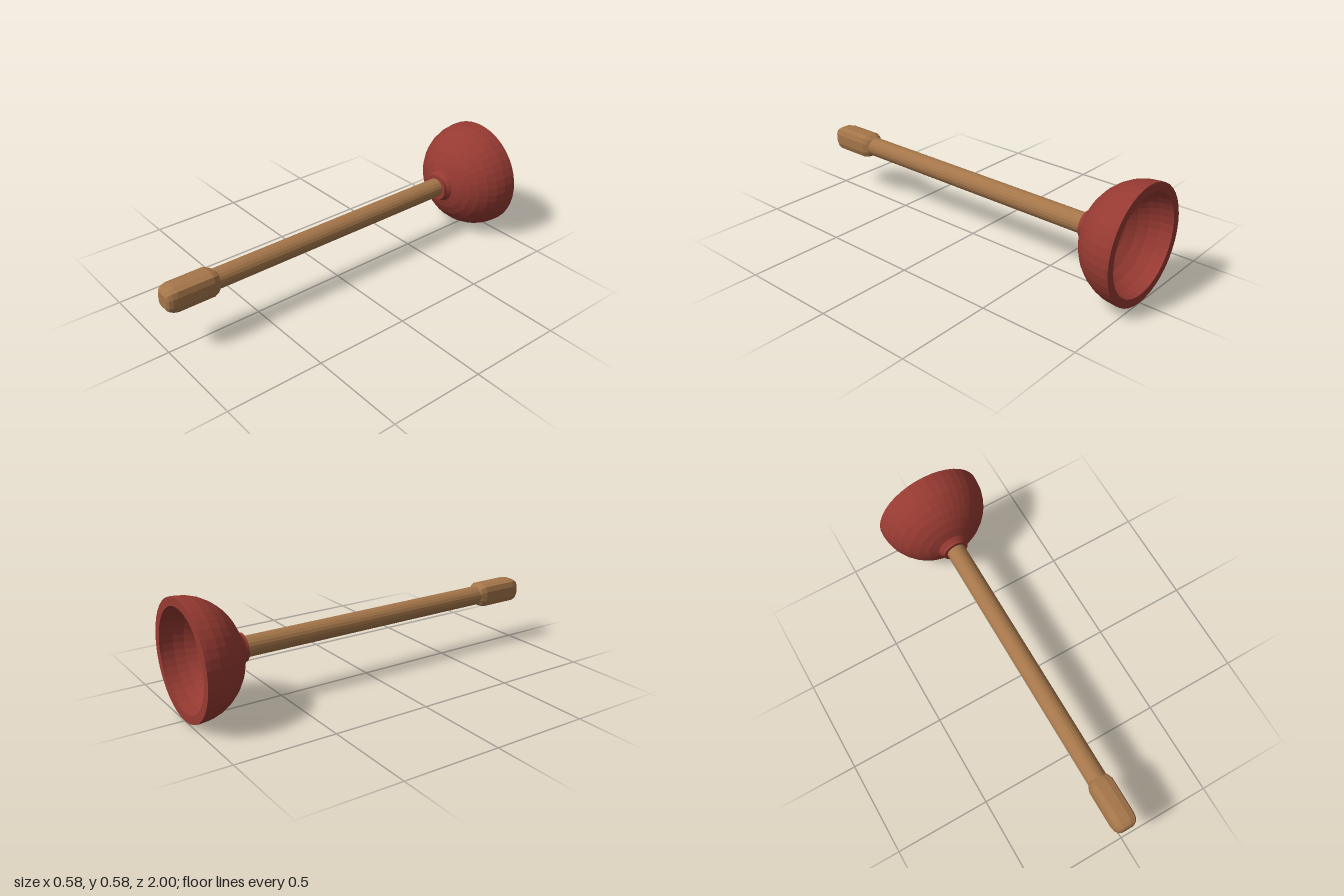
import * as THREE from 'three';

const AXIS_Y = 0.292;

// Lathe whose profile is listed as [radius, z], turned to lie along z
function lathe(name, profile, segments, material, reshape) {
  const geometry = new THREE.LatheGeometry(profile.map(([r, z]) => new THREE.Vector2(r, z)), segments);
  if (reshape) reshape(geometry.attributes.position);
  geometry.rotateX(Math.PI / 2);
  geometry.computeVertexNormals();
  const mesh = new THREE.Mesh(geometry, material);
  mesh.name = name;
  mesh.position.y = AXIS_Y;
  return mesh;
}

// Quarter-ellipse arc from the rim (t = 0) towards the crown
function arc(radius, depth, baseZ, tEnd, steps) {
  return Array.from({ length: steps + 1 }, (_, i) => {
    const t = (i / steps) * tEnd;
    return [radius * Math.cos(t), baseZ + depth * Math.sin(t)];
  });
}

// Turn round sections into soft squares
function squareOff(position) {
  for (let i = 0; i < position.count; i++) {
    const x = position.getX(i), y = position.getY(i), z = position.getZ(i);
    const r = Math.hypot(x, z);
    if (r < 1e-6 || y < 0.73) continue;
    const k = Math.pow((x / r) ** 4 + (z / r) ** 4, -0.25);
    position.setX(i, x * k);
    position.setZ(i, z * k);
  }
}

export function createModel() {
  const rubber = new THREE.MeshStandardMaterial({ color: 0x963a32, flatShading: true });
  rubber.name = 'red rubber';
  const wood = new THREE.MeshStandardMaterial({ color: 0xa5764a, flatShading: true });
  wood.name = 'wood';
  const model = new THREE.Group();
  model.name = 'plunger';

  // Hollow cup: inner bowl, flat rim, then outer dome
  const inner = arc(0.25, 0.225, -0.985, Math.PI / 2, 7).reverse();
  inner[0][0] = 0;
  const outer = arc(0.292, 0.265, -0.98, 1.28, 7);
  model.add(lathe('cup', [...inner, [0.25, -1], [0.292, -1], ...outer], 40, rubber));

  // Collar where the handle enters the cup
  model.add(lathe('collar', [[0.085, -0.74], [0.085, -0.725], [0.07, -0.705], [0.07, -0.692], [0.045, -0.692]], 32, rubber));

  // Handle shaft
  model.add(lathe('shaft', [[0, -0.755], [0.051, -0.755], [0.051, 0.74], [0, 0.74]], 20, wood));

  // Squared grip with a rounded end
  const grip = [[0.048, 0.72], [0.054, 0.735], [0.063, 0.76], [0.063, 0.95],
    [0.058, 0.975], [0.049, 0.992], [0.036, 1], [0, 1]];
  model.add(lathe('grip', grip, 16, wood, squareOff));

  return model;
}
